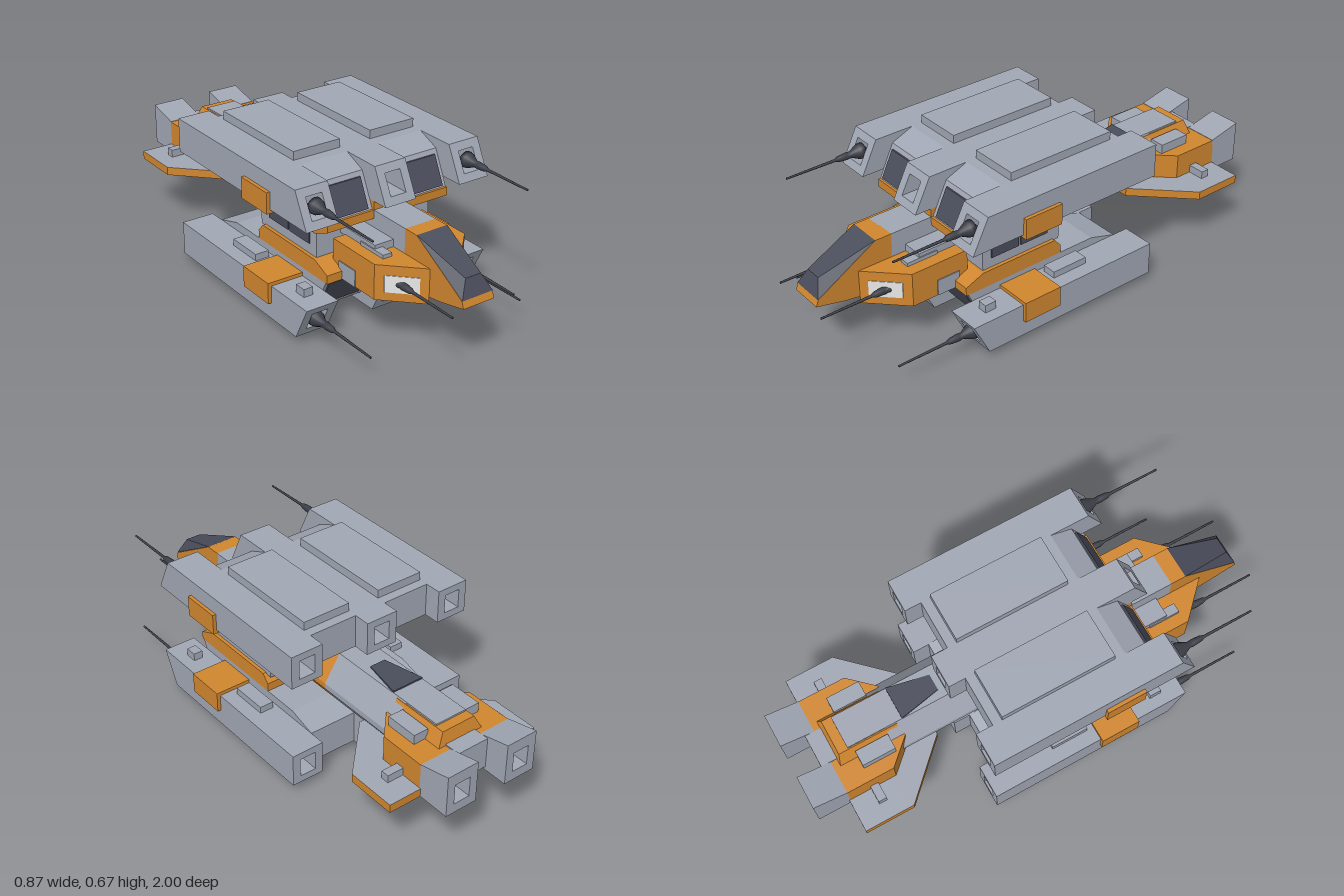
import * as THREE from 'three';
import { ConvexGeometry } from 'three/addons/geometries/ConvexGeometry.js';

const material = (name, color) => {
  const m = new THREE.MeshStandardMaterial({ color });
  m.name = name;
  return m;
};

export function createModel() {
  const grey = material('hullGrey', 0xa0a6b3);
  const orange = material('armourOrange', 0xd0862f);
  const dark = material('glassDark', 0x4a4d5b);
  const gunmetal = material('gunmetal', 0x3b3e47);
  const white = material('portWhite', 0xffffff);
  const model = new THREE.Group();
  model.name = 'spaceship';

  const add = (parent, name, geometry, mat) => {
    const mesh = new THREE.Mesh(geometry, mat);
    mesh.name = name;
    parent.add(mesh);
    return mesh;
  };
  // Box given by its limits on each axis
  const box = (parent, name, mat, [x0, x1], [y0, y1], [z0, z1]) => {
    const g = new THREE.BoxGeometry(Math.abs(x1 - x0), y1 - y0, z1 - z0);
    g.translate((x0 + x1) / 2, (y0 + y1) / 2, (z0 + z1) / 2);
    return add(parent, name, g, mat);
  };
  // Convex solid from corner points
  const solid = (parent, name, mat, points) =>
    add(parent, name, new ConvexGeometry(points.map(p => new THREE.Vector3(...p))), mat);
  // Side profile of [z, y] points carried from x0 to x1
  const slab = (parent, name, mat, x0, x1, profile) =>
    solid(parent, name, mat, profile.flatMap(([z, y]) => [[x0, y, z], [x1, y, z]]));
  // Plan outline of [x, z] points raised from y0 to y1
  const plan = (parent, name, mat, outline, y0, y1) => {
    const shape = new THREE.Shape(outline.map(([x, z]) => new THREE.Vector2(x, -z)));
    const g = new THREE.ExtrudeGeometry(shape, { depth: y1 - y0, bevelEnabled: false });
    g.rotateX(-Math.PI / 2).translate(0, y0, 0);
    return add(parent, name, g, mat);
  };
  // Square duct along z; bend(x, y, z) returns the moved [y, z]
  const duct = (parent, name, cx, [y0, y1], [h0, h1], [z0, z1], bend) => {
    const rect = (C, w, a, b) => new C([[-w, a], [w, a], [w, b], [-w, b]]
      .map(([x, y]) => new THREE.Vector2(cx + x, y)));
    const shape = rect(THREE.Shape, 0.07, y0, y1);
    shape.holes.push(rect(THREE.Path, 0.035, h0, h1));
    const g = new THREE.ExtrudeGeometry(shape, { depth: z1 - z0, bevelEnabled: false });
    g.translate(0, 0, z0);
    const p = g.attributes.position;
    for (let i = 0; i < p.count; i++) {
      const [y, z] = bend(p.getY(i), p.getZ(i));
      p.setXYZ(i, p.getX(i), y, z);
    }
    g.computeVertexNormals();
    return add(parent, name, g, grey);
  };
  // Cannon with a stepped breech and a long thin barrel
  const gunProfile = [[0, 0], [0.033, 0], [0.03, 0.02], [0.013, 0.055], [0.015, 0.075],
    [0.012, 0.11], [0.006, 0.125], [0.004, 0.34], [0, 0.34]];
  const gunGeometry = new THREE.LatheGeometry(gunProfile.map(p => new THREE.Vector2(...p)), 16);
  gunGeometry.rotateX(Math.PI / 2);
  const gun = (parent, name, x, y, z) =>
    add(parent, name, gunGeometry, gunmetal).position.set(x, y, z);

  // Hull deck: the lower one is the upper one turned over
  const makeDeck = name => {
    const deck = new THREE.Group();
    deck.name = name;
    model.add(deck);
    for (const x of [-0.35, 0, 0.35]) {
      duct(deck, 'hullDuct', x, [0.49, 0.63], [0.52, 0.6], [-0.35, 0.46],
        (y, z) => [y, z > 0 ? 0.46 + (0.63 - y) * 0.5 : z]);
    }
    for (const s of [-1, 1]) {
      slab(deck, 'deckBlock', grey, s * 0.07, s * 0.28, [[-0.28, 0.63], [0.29, 0.63],
        [0.385, 0.59], [0.45, 0.455], [-0.16, 0.455], [-0.23, 0.49], [-0.28, 0.49]]);
      box(deck, 'deckPad', grey, [s * 0.07, s * 0.28], [0.63, 0.665], [-0.24, 0.245]);
      slab(deck, 'deckWindow', dark, s * 0.088, s * 0.265,
        [[0.385, 0.572], [0.4, 0.572], [0.452, 0.462], [0.44, 0.462]]);
      // Armour bracket wrapped round the outer duct
      box(deck, 'bracketPlate', orange, [s * 0.28, s * 0.435], [0.475, 0.49], [0.13, 0.3]);
      box(deck, 'bracketSide', orange, [s * 0.42, s * 0.435], [0.475, 0.562], [0.13, 0.3]);
      box(deck, 'ductClamp', grey, [s * 0.33, s * 0.37], [0.457, 0.49], [0.39, 0.44]);
      box(deck, 'ductVent', grey, [s * 0.3, s * 0.36], [0.462, 0.49], [-0.06, 0.1]);
      gun(deck, 'deckCannon', s * 0.35, 0.56, 0.48);
      box(deck, 'cannonMount', gunmetal, [s * 0.315, s * 0.385], [0.555, 0.565], [0.46, 0.485]);
    }
    box(deck, 'keelArmour', orange, [-0.07, 0.07], [0.455, 0.49], [-0.1, 0.46]);
    box(deck, 'keelBlock', grey, [-0.035, 0.035], [0.475, 0.49], [0.4, 0.47]);
    // Tapered armour collar joining the deck to the core
    const collar = [];
    for (const x of [-0.28, 0.28]) {
      for (const [z, y] of [[0.46, 0.455], [0.46, 0.42], [0, 0.455], [0, 0.42],
        [0.38, 0.387], [0.03, 0.387]]) collar.push([x, y, z]);
    }
    solid(deck, 'collar', orange, collar);
    return deck;
  };
  makeDeck('upperDeck');
  const lower = makeDeck('lowerDeck');
  lower.rotation.z = Math.PI;
  lower.position.y = 0.665;

  // Core with side windows
  box(model, 'core', grey, [-0.265, 0.265], [0.27, 0.395], [0.0, 0.37]);
  for (const s of [-1, 1]) {
    for (const z of [0.06, 0.2]) {
      box(model, 'coreWindow', dark, [s * 0.264, s * 0.27], [0.32, 0.386], [z, z + 0.13]);
    }
  }

  // Nose with hipped canopy
  box(model, 'neck', grey, [-0.07, 0.07], [0.25, 0.455], [0.36, 0.645]);
  slab(model, 'nose', orange, -0.07, 0.07, [[0.64, 0.455], [0.71, 0.455], [0.965, 0.305],
    [0.975, 0.278], [0.85, 0.25], [0.64, 0.22]]);
  const canopy = [];
  for (const s of [-1, 1]) {
    canopy.push([s * 0.07, 0.456, 0.71], [s * 0.07, 0.306, 0.967], [s * 0.035, 0.373, 0.938]);
  }
  solid(model, 'canopy', dark, canopy);
  slab(model, 'chin', grey, -0.018, 0.018, [[0.6, 0.26], [0.86, 0.26], [0.78, 0.212], [0.6, 0.212]]);

  // Cannon pods beside the nose
  for (const s of [-1, 1]) {
    plan(model, 'cannonPod', orange, [[s * 0.07, 0.4], [s * 0.21, 0.4], [s * 0.21, 0.65],
      [s * 0.07, 0.79]], 0.212, 0.355);
    const port = [];
    for (const x of [0.095, 0.185]) {
      for (const y of [0.247, 0.315]) {
        port.push([s * x, y, 0.863 - x], [s * x, y, 0.855 - x]);
      }
    }
    solid(model, 'cannonPort', white, port);
    gun(model, 'podCannon', s * 0.14, 0.28, 0.66);
    box(model, 'podFairing', grey, [s * 0.07, s * 0.155], [0.35, 0.385], [0.36, 0.58]);
    box(model, 'podRail', grey, [s * 0.12, s * 0.16], [0.35, 0.37], [0.5, 0.635]);
    box(model, 'podPatch', grey, [s * 0.208, s * 0.214], [0.213, 0.28], [0.44, 0.54]);
  }

  // Tail, set slightly to the left of the centre line
  const tail = new THREE.Group();
  tail.name = 'tail';
  tail.position.x = 0.035;
  model.add(tail);
  const section = [[0.07, 0.445], [0.14, 0.335], [0.14, 0.31], [0.085, 0.235]];
  const fuselage = (name, mat, z0, z1) => solid(tail, name, mat, section.flatMap(([x, y]) =>
    [-x, x].flatMap(px => [[px, y, z0], [px, y, z1]])));
  fuselage('tailCollar', orange, -0.23, 0.02);
  fuselage('tailFuselage', grey, -0.62, -0.23);
  solid(tail, 'dorsalWindow', dark, [-1, 1].flatMap(s => [0.44, 0.453].flatMap(y =>
    [[s * 0.07, y, -0.545], [s * 0.035, y - 0.004, -0.37]])));
  box(tail, 'tailSpine', grey, [-0.07, 0.07], [0.26, 0.39], [-0.9, -0.6]);
  const ridge = [];
  for (const s of [-1, 1]) {
    ridge.push([s * 0.105, 0.38, -0.835], [s * 0.105, 0.38, -0.58],
      [s * 0.075, 0.44, -0.82], [s * 0.075, 0.44, -0.57]);
  }
  solid(tail, 'dorsalRidge', orange, ridge);
  box(tail, 'dorsalPlate', grey, [-0.07, 0.07], [0.43, 0.447], [-0.78, -0.545]);
  box(tail, 'bellyPlate', orange, [-0.11, 0.11], [0.222, 0.25], [-0.82, -0.57]);

  // Wing plate: grey faces with orange edges
  plan(tail, 'wing', [grey, orange], [[-0.35, -0.865], [0.35, -0.865], [0.35, -0.655],
    [0.14, -0.44], [-0.14, -0.44], [-0.35, -0.655]], 0.245, 0.28);
  for (const s of [-1, 1]) {
    plan(tail, 'enginePod', orange, [[s * 0.07, -0.865], [s * 0.21, -0.865], [s * 0.21, -0.66],
      [s * 0.115, -0.56], [s * 0.07, -0.56]], 0.28, 0.385);
    box(tail, 'podBox', grey, [s * 0.09, s * 0.155], [0.38, 0.425], [-0.76, -0.62]);
    box(tail, 'wingBump', grey, [s * 0.2, s * 0.28], [0.28, 0.312], [-0.77, -0.735]);
    duct(tail, 'engineNozzle', s * 0.14, [0.245, 0.42], [0.285, 0.37], [-1, -0.86],
      (y, z) => [z > -0.9 ? Math.min(y, 0.387) : y, z]);
  }
  return model;
}
